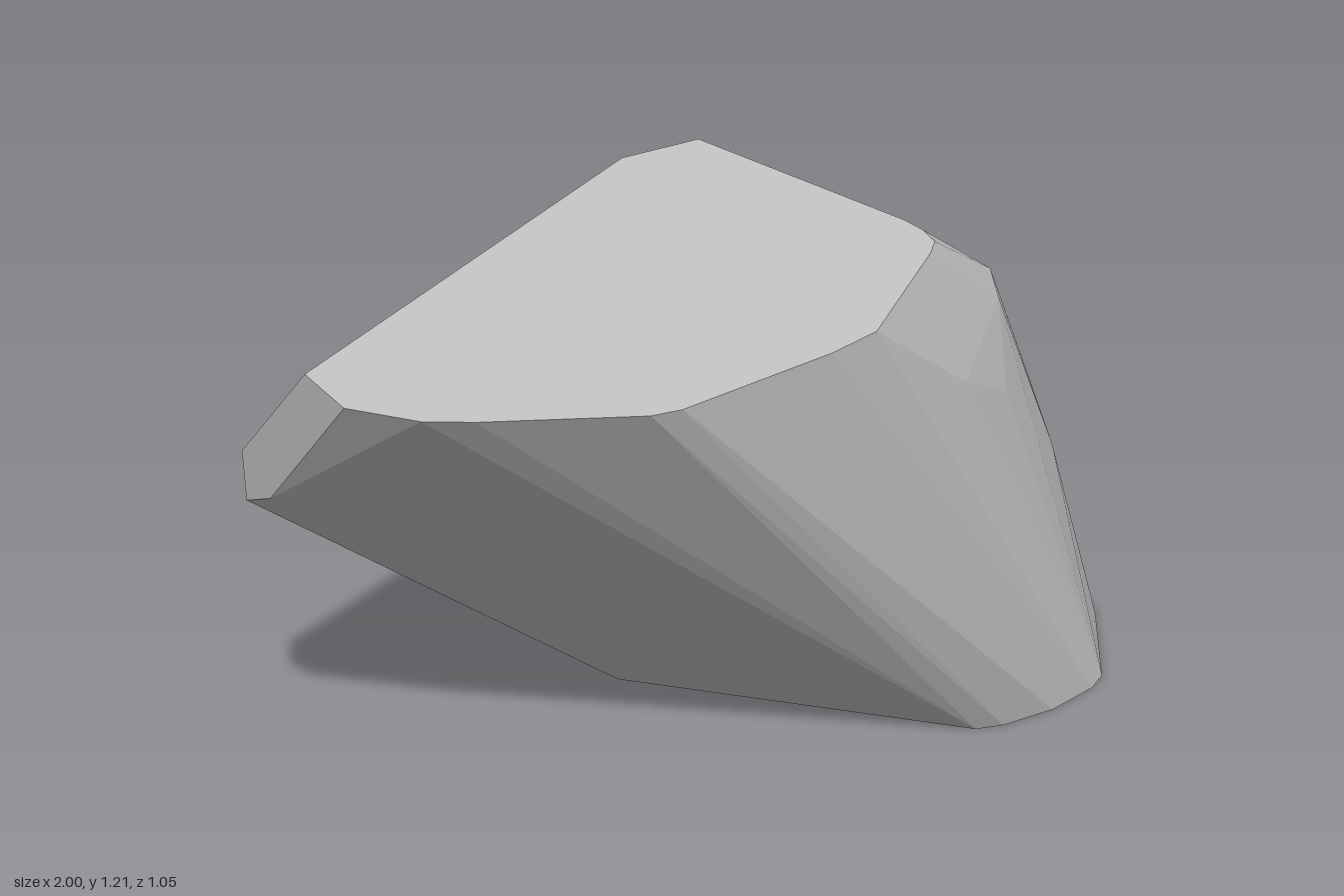
import * as THREE from 'three';
import { ConvexGeometry } from 'three/addons/geometries/ConvexGeometry.js';

// Flat outline of the top, as x, z at full height
const top = [
  [0, -0.525], [0.19, -0.525], [0.31, 0.06], [0.313, 0.12], [0.3, 0.18], [0.26, 0.22],
  [-0.03, 0.45], [-0.15, 0.48], [-0.5, 0.522], [-0.56, 0.512], [-0.83, 0.365],
  [-0.91, 0.31], [-1, 0.19], [-1, 0.03],
];

// Flat outline of the base, as x, z on the ground
const base = [
  [-0.11, -0.525], [-0.105, -0.42], [0.45, 0.185], [0.51, 0.205], [0.64, 0.215],
  [0.77, 0.192], [0.82, 0.165], [0.98, -0.06], [1, -0.13], [0.92, -0.525],
];

// Curved edge of the flat back, as x, y
const backEdge = [[0.47, 0.94], [0.67, 0.66], [0.77, 0.47], [0.85, 0.25]];

// Ridge down the curved side
const ridge = [
  [0.55, 1.03, 0.04], [0.74, 0.69, -0.09], [0.83, 0.53, -0.1], [0.925, 0.26, -0.115],
];

// Softer bevel beside the ridge, and the low bumps in front of it
const bevel = [
  [0.52, 1.0, 0.11], [0.79, 0.52, -0.02], [0.47, 0.84, 0.215], [0.28, 0.96, 0.325],
];

// Cut end of the overhang, as y, z
const end = [[0.79, -0.3], [0.9, -0.3], [0.85, -0.18]];

export function createModel() {
  const group = new THREE.Group();
  group.name = 'rock';
  const stone = new THREE.MeshStandardMaterial({ color: 0xc8c8c8 });
  stone.name = 'grey stone';

  const points = [
    ...top.map(([x, z]) => new THREE.Vector3(x, 1.205, z)),
    ...base.map(([x, z]) => new THREE.Vector3(x, 0, z)),
    ...backEdge.map(([x, y]) => new THREE.Vector3(x, y, -0.525)),
    ...[...ridge, ...bevel].map((p) => new THREE.Vector3(...p)),
    ...end.map(([y, z]) => new THREE.Vector3(-1, y, z)),
  ];

  // The faceted stone is the convex skin around all outlines
  const body = new THREE.Mesh(new ConvexGeometry(points), stone);
  body.name = 'stoneBody';
  group.add(body);
  return group;
}
